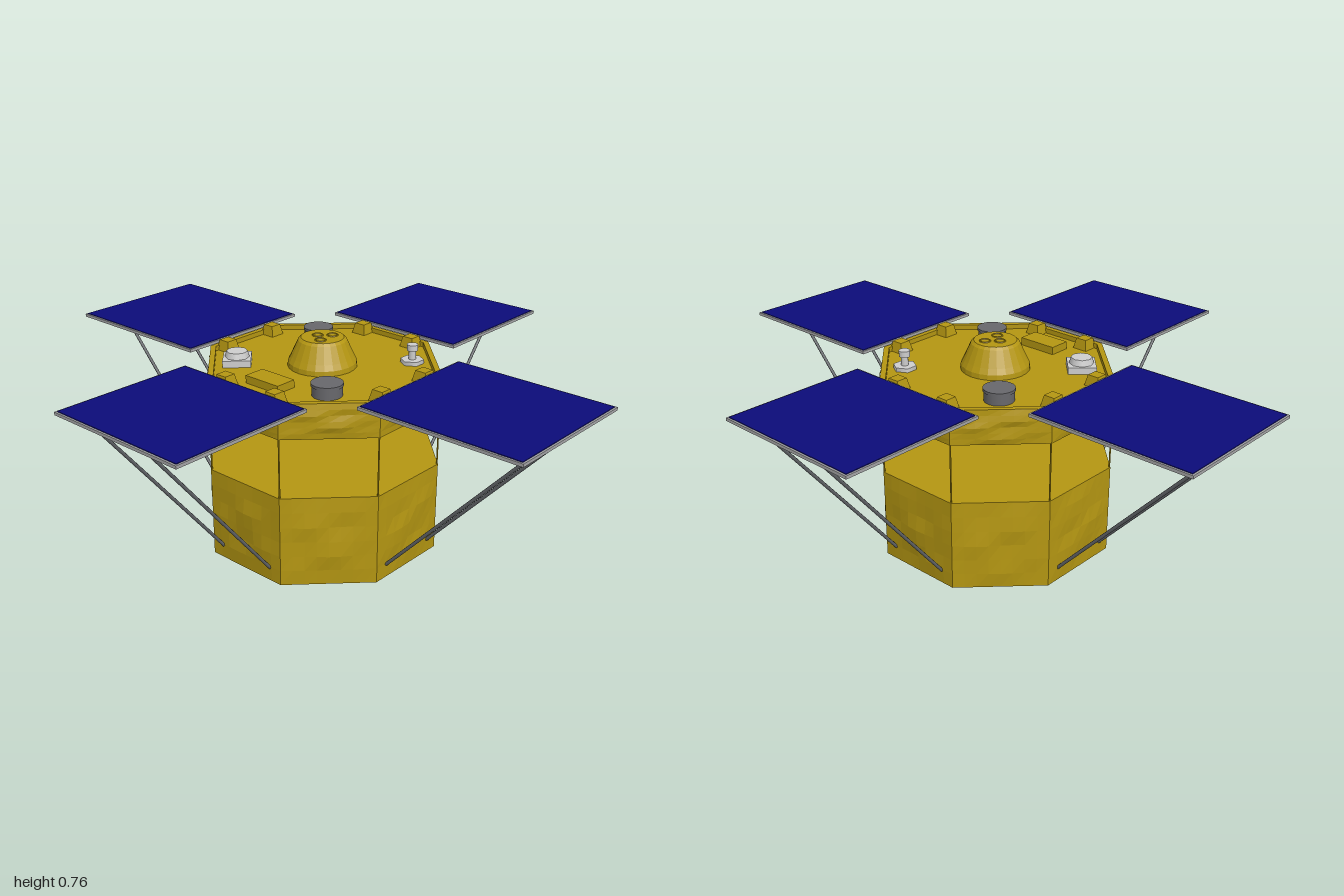
import * as THREE from 'three';

const mat = (name, color, extra = {}) =>
  Object.assign(new THREE.MeshStandardMaterial({ color, ...extra }), { name });

const APOTHEM = 0.4;
const CORNER = APOTHEM / Math.cos(Math.PI / 8);
const SIDE = 2 * APOTHEM * Math.tan(Math.PI / 8);

export function createModel() {
  const gold = mat('gold foil', 0xb59712, { flatShading: true });
  const blue = mat('solar cell blue', 0x0c0c7a);
  const grey = mat('panel grey', 0xa6a6a8);
  const strutGrey = mat('strut grey', 0x63666a);
  const darkGrey = mat('sensor grey', 0x68686c);
  const pale = mat('pale metal', 0xcfcfcf);

  const model = new THREE.Group();
  model.name = 'satellite';

  const add = (parent, name, geo, material, x = 0, y = 0, z = 0) => {
    const mesh = new THREE.Mesh(geo, material);
    mesh.name = name;
    mesh.position.set(x, y, z);
    parent.add(mesh);
    return mesh;
  };
  const group = (name, parent = model) => {
    const g = new THREE.Group();
    g.name = name;
    parent.add(g);
    return g;
  };

  // Thin rod between two points
  const rod = (parent, name, a, b, radius, material) => {
    const dir = b.clone().sub(a);
    const mesh = add(parent, name, new THREE.CylinderGeometry(radius, radius, dir.length(), 8), material);
    mesh.position.copy(a).add(b).multiplyScalar(0.5);
    mesh.quaternion.setFromUnitVectors(new THREE.Vector3(0, 1, 0), dir.normalize());
    return mesh;
  };

  // Flat octagonal lid, facing up or down
  const lid = (parent, name, y, up) => {
    const geo = new THREE.CircleGeometry(CORNER, 8, Math.PI / 8);
    geo.rotateX(up ? -Math.PI / 2 : Math.PI / 2);
    return add(parent, name, geo, gold, 0, y, 0);
  };

  // Eight slightly crumpled foil walls
  const walls = (parent, name, y0, y1) => {
    const h = y1 - y0;
    for (let i = 0; i < 8; i++) {
      const geo = new THREE.PlaneGeometry(SIDE, h, 8, 6);
      const p = geo.attributes.position;
      for (let k = 0; k < p.count; k++) {
        const u = p.getX(k) / SIDE, v = p.getY(k) / h;
        const fade = Math.max(0, (1 - 4 * u * u) * (1 - 4 * v * v));
        const wave = Math.sin(9 * u + 7 * v + i * 2.1) + Math.sin(13 * v - 6 * u + i * 3.7);
        p.setZ(k, APOTHEM + 0.003 * fade * (wave + 2));
      }
      geo.computeVertexNormals();
      add(parent, name, geo, gold).rotation.y = i * Math.PI / 4;
      parent.children.at(-1).position.y = (y0 + y1) / 2;
    }
  };

  // Lower body
  const lower = group('lowerBody');
  walls(lower, 'lowerWall', 0.005, 0.34);
  lid(lower, 'lowerFloor', 0.005, false);
  lid(lower, 'lowerDeck', 0.34, true);

  // Upper body with a recessed deck inside a rim
  const upper = group('upperBody');
  walls(upper, 'upperWall', 0.555, 0.68);
  lid(upper, 'upperFloor', 0.555, false);
  lid(upper, 'topDeck', 0.662, true);
  const octagon = (Path, r) => new Path().setFromPoints(
    Array.from({ length: 8 }, (_, i) => {
      const a = (i + 0.5) * Math.PI / 4;
      return new THREE.Vector2(r * Math.cos(a), r * Math.sin(a));
    }));
  const rimShape = octagon(THREE.Shape, CORNER - 0.001);
  rimShape.holes.push(octagon(THREE.Path, CORNER - 0.022));
  const rimGeo = new THREE.ExtrudeGeometry(rimShape, { depth: 0.022, bevelEnabled: false });
  rimGeo.rotateX(-Math.PI / 2);
  add(upper, 'deckRim', rimGeo, gold, 0, 0.658, 0);

  // Slim corner posts across the open gap
  for (let i = 0; i < 8; i++) {
    const a = (i + 0.5) * Math.PI / 4, r = CORNER - 0.004;
    add(model, 'cornerPost', new THREE.BoxGeometry(0.004, 0.215, 0.004), gold,
      r * Math.cos(a), 0.4475, r * Math.sin(a));
  }

  // Four solar wings, each with two struts and two hinge blocks
  for (let i = 0; i < 4; i++) {
    const sideways = i % 2 === 1;
    const wing = group('solarWing');
    wing.rotation.y = i * Math.PI / 2;
    const inner = 0.39, outer = sideways ? 1.0 : 0.93;
    const width = sideways ? 0.545 : 0.57, length = outer - inner;
    const mid = (inner + outer) / 2;
    add(wing, 'panelFrame', new THREE.BoxGeometry(width, 0.011, length), grey, 0, 0.69, mid);
    add(wing, 'solarCells', new THREE.BoxGeometry(width - 0.014, 0.003, length - 0.014), blue, 0, 0.6965, mid);
    for (const s of [-1, 1]) {
      rod(wing, 'strut', new THREE.Vector3(s * 0.115, 0.685, outer - 0.025),
        new THREE.Vector3(s * 0.115, 0.055, APOTHEM), 0.006, strutGrey);
      const block = new THREE.CylinderGeometry(0.03, 0.042, 0.04, 4, 1);
      block.rotateY(Math.PI / 4);
      add(wing, 'hingeBlock', block, gold, s * 0.115, 0.68, 0.36);
    }
  }

  // Central dome with three ports
  const dome = group('dome');
  const profile = [[0.124, 0.655], [0.122, 0.68], [0.112, 0.7], [0.086, 0.757], [0.076, 0.766], [0, 0.766]]
    .map(([x, y]) => new THREE.Vector2(x, y));
  add(dome, 'domeShell', new THREE.LatheGeometry(profile, 24), gold);
  for (const [x, z] of [[-0.022, 0], [0.016, -0.035], [0.02, 0.032]]) {
    const ring = new THREE.TorusGeometry(0.018, 0.003, 6, 16);
    ring.rotateX(Math.PI / 2);
    add(dome, 'domePort', ring, gold, x, 0.766, z);
  }

  // Dark round sensors
  for (const s of [-1, 1]) {
    const sensor = group('roundSensor');
    sensor.position.set(s * 0.2, 0, s * 0.2);
    add(sensor, 'sensorCan', new THREE.CylinderGeometry(0.052, 0.052, 0.045, 20), darkGrey, 0, 0.682, 0);
    add(sensor, 'sensorLip', new THREE.CylinderGeometry(0.055, 0.055, 0.01, 20), darkGrey, 0, 0.702, 0);
  }

  // Pale square unit with a round cap
  const unit = group('squareUnit');
  unit.position.set(-0.235, 0, 0.19);
  unit.rotation.y = 0.75;
  add(unit, 'unitBase', new THREE.BoxGeometry(0.1, 0.025, 0.1), pale, 0, 0.674, 0);
  add(unit, 'unitCap', new THREE.CylinderGeometry(0.038, 0.044, 0.022, 8), pale, 0, 0.697, 0);

  // Small post antenna
  const antenna = group('postAntenna');
  antenna.position.set(0.225, 0, -0.225);
  add(antenna, 'antennaBase', new THREE.CylinderGeometry(0.042, 0.042, 0.015, 6), pale, 0, 0.669, 0);
  add(antenna, 'antennaPost', new THREE.CylinderGeometry(0.013, 0.013, 0.05, 12), pale, 0, 0.695, 0);
  add(antenna, 'antennaHead', new THREE.CylinderGeometry(0.02, 0.02, 0.022, 12), pale, 0, 0.72, 0);

  // Low foil-covered box near the front edge
  add(model, 'deckBox', new THREE.BoxGeometry(0.15, 0.03, 0.08), gold, 0, 0.675, 0.265);

  return model;
}
